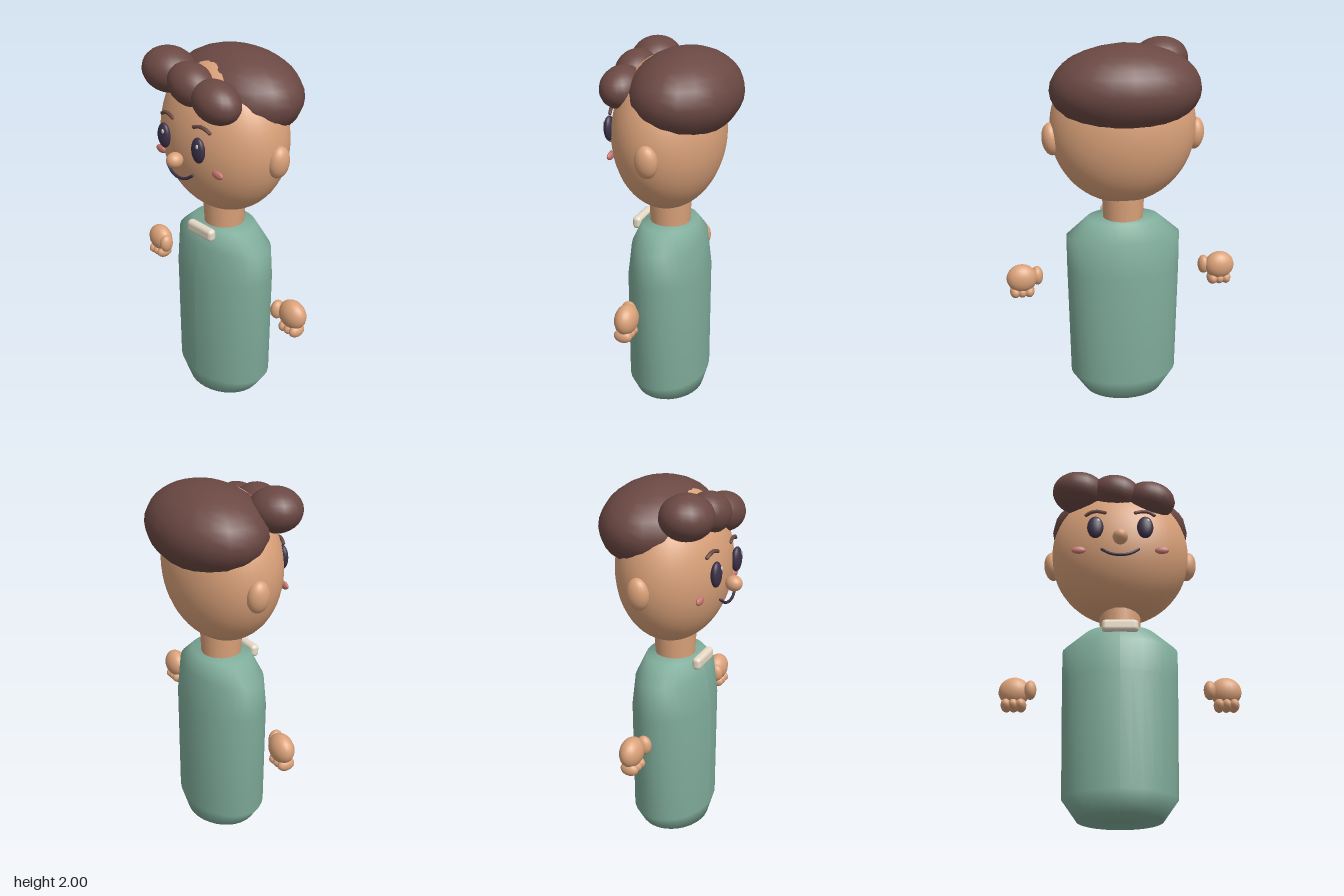
import * as THREE from 'three';
import { RoundedBoxGeometry } from 'three/addons/geometries/RoundedBoxGeometry.js';

const paint = (color) => new THREE.MeshStandardMaterial({ color });

export function createModel() {
  const model = new THREE.Group();
  const skin = paint(0xdba27a), hair = paint(0x6b4843), shirt = paint(0x80ad9b);
  const dark = paint(0x3c3147), blush = paint(0xc97a72), cream = paint(0xe6dac6), white = paint(0xffffff);

  function add(name, geometry, material, position = [0, 0, 0], parent = model) {
    const mesh = new THREE.Mesh(geometry, material);
    mesh.name = name;
    mesh.position.set(...position);
    parent.add(mesh);
    return mesh;
  }
  function ellipsoid(name, material, position, radii, rotZ = 0, segments = 20, parent = model) {
    const mesh = add(name, new THREE.SphereGeometry(1, segments, Math.round(segments * 0.8)), material, position, parent);
    mesh.scale.set(...radii);
    mesh.rotation.z = rotZ;
    return mesh;
  }
  function stroke(name, points, radius, material) {
    const curve = new THREE.CatmullRomCurve3(points.map((p) => new THREE.Vector3(...p)));
    add(name, new THREE.TubeGeometry(curve, 14, radius, 8), material);
    // rounded ends
    for (const i of [0, points.length - 1]) {
      add(name + 'End', new THREE.SphereGeometry(radius, 8, 6), material, points[i]);
    }
  }

  // Torso: elliptical sections [height, half width, half depth]
  const sections = [
    [0, 0.225, 0.19], [0.11, 0.303, 0.22], [0.75, 0.316, 0.22],
    [0.94, 0.318, 0.19], [1.04, 0.2, 0.15],
  ];
  const profile = [[0, 0], ...sections.map(([y]) => [1, y]), [0, 1.04]];
  const torso = new THREE.LatheGeometry(profile.map(([r, y]) => new THREE.Vector2(r, y)), 32);
  const pos = torso.attributes.position;
  for (let i = 0; i < pos.count; i++) {
    const section = sections.find(([y]) => Math.abs(y - pos.getY(i)) < 1e-4);
    pos.setX(i, pos.getX(i) * section[1]);
    pos.setZ(i, pos.getZ(i) * section[2]);
  }
  torso.computeVertexNormals();
  add('torso', torso, shirt);

  // Neck and collar tab
  add('neck', new THREE.CylinderGeometry(0.118, 0.108, 0.2, 24), skin, [0, 1.09, 0]);
  add('collar', new RoundedBoxGeometry(0.2, 0.07, 0.05, 3, 0.022), cream, [0, 1.025, 0.165]);

  // Head and nose
  ellipsoid('head', skin, [0, 1.55, 0], [0.395, 0.42, 0.295], 0, 40);
  ellipsoid('nose', skin, [0, 1.485, 0.335], [0.042, 0.042, 0.046]);

  // Paired parts
  for (const s of [-1, 1]) {
    const side = s > 0 ? 'left' : 'right';
    ellipsoid(side + 'Ear', skin, [s * 0.39, 1.5, -0.022], [0.05, 0.088, 0.062], -s * 0.1);
    ellipsoid(side + 'Eye', dark, [s * 0.138, 1.57, 0.293], [0.045, 0.068, 0.026]);
    ellipsoid(side + 'EyeGlint', white, [s * 0.138 + 0.016, 1.6, 0.314], [0.009, 0.012, 0.006], 0, 10);
    ellipsoid(side + 'Cheek', blush, [s * 0.23, 1.452, 0.245], [0.04, 0.022, 0.014]);
    stroke(side + 'Brow', [
      [s * 0.19, 1.669, 0.262], [s * 0.165, 1.683, 0.268], [s * 0.13, 1.688, 0.272], [s * 0.085, 1.676, 0.276],
    ], 0.01, hair);

    // Floating hand: palm, thumb and three fingers
    const hand = new THREE.Group();
    hand.name = side + 'Hand';
    hand.position.set(s * 0.57, 0.7, 0.02);
    model.add(hand);
    ellipsoid('palm', skin, [0, 0, 0], [0.085, 0.08, 0.06], 0, 20, hand);
    ellipsoid('thumb', skin, [-s * 0.088, 0, 0.025], [0.033, 0.054, 0.042], 0, 16, hand);
    for (let i = -1; i <= 1; i++) {
      ellipsoid('finger', skin, [i * 0.039, -0.08, 0.005], [0.03, 0.036, 0.05], 0, 14, hand);
    }
  }

  // Smile
  stroke('mouth', [
    [-0.1, 1.423, 0.303], [-0.055, 1.394, 0.31], [0, 1.384, 0.313], [0.055, 1.394, 0.31], [0.1, 1.423, 0.303],
  ], 0.008, dark);

  // Hair cap and three front curls
  ellipsoid('hairCap', hair, [0, 1.77, -0.09], [0.402, 0.23, 0.292], 0, 20);
  ellipsoid('curl', hair, [-0.235, 1.876, 0.172], [0.156, 0.118, 0.138], -0.1);
  ellipsoid('curl', hair, [-0.02, 1.852, 0.2], [0.145, 0.108, 0.112], -0.25);
  ellipsoid('curl', hair, [0.17, 1.81, 0.2], [0.145, 0.106, 0.112], -0.2);

  return model;
}
